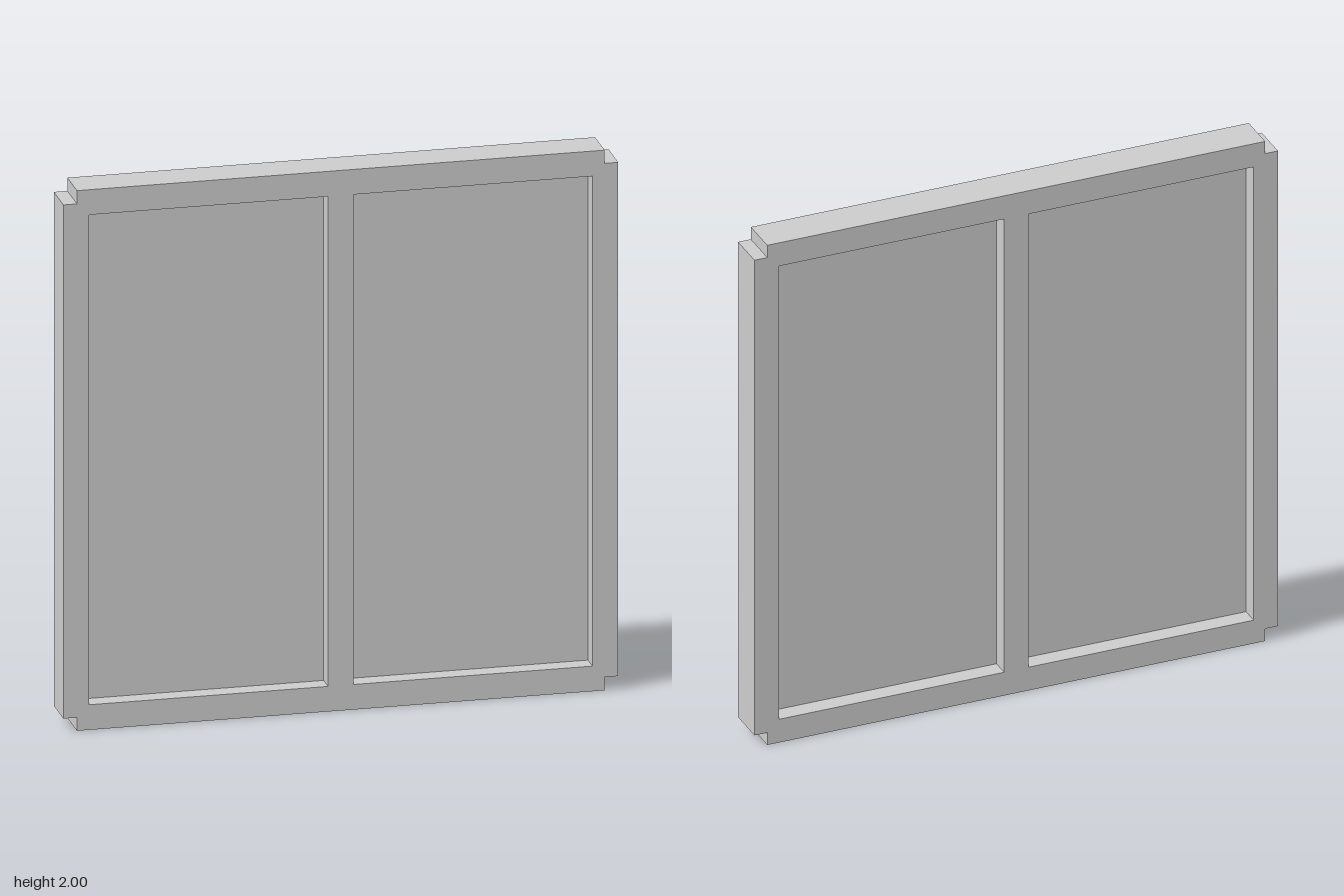
import * as THREE from 'three';

const DEPTH = 0.145;        // frame thickness
const NOTCH = 0.049;        // square cut at each outer corner
const INNER = 0.907;        // outer edge of the panes
const MULLION = 0.046;      // half width of the middle bar
const PANEL = 0.01;         // pane thickness

// Closed path through the given points
function trace(path, points) {
  points.forEach(([x, y], i) => (i ? path.lineTo(x, y) : path.moveTo(x, y)));
  path.closePath();
  return path;
}

export function createModel() {
  const model = new THREE.Group();
  model.name = 'twoPanePanel';
  const material = new THREE.MeshStandardMaterial({ color: 0xcccccc, flatShading: true });

  // Frame outline with notched corners, centred on the origin
  const n = 1 - NOTCH;
  const outline = trace(new THREE.Shape(), [
    [-n, -1], [n, -1], [n, -n], [1, -n], [1, n], [n, n],
    [n, 1], [-n, 1], [-n, n], [-1, n], [-1, -n], [-n, -n],
  ]);

  const paneWidth = INNER - MULLION;
  const paneX = (INNER + MULLION) / 2;
  for (const side of [-1, 1]) {
    // Opening in the frame
    const a = side * paneX - paneWidth / 2;
    const b = side * paneX + paneWidth / 2;
    outline.holes.push(trace(new THREE.Path(), [[a, -INNER], [a, INNER], [b, INNER], [b, -INNER]]));

    // Thin pane in the middle of the frame's depth
    const pane = new THREE.Mesh(new THREE.BoxGeometry(paneWidth, 2 * INNER, PANEL), material);
    pane.name = side > 0 ? 'leftPane' : 'rightPane';
    pane.position.set(side * paneX, 1, 0);
    model.add(pane);
  }

  // Frame with middle bar
  const geometry = new THREE.ExtrudeGeometry(outline, { depth: DEPTH, bevelEnabled: false });
  geometry.translate(0, 1, -DEPTH / 2);
  const frame = new THREE.Mesh(geometry, material);
  frame.name = 'frame';
  model.add(frame);

  return model;
}
